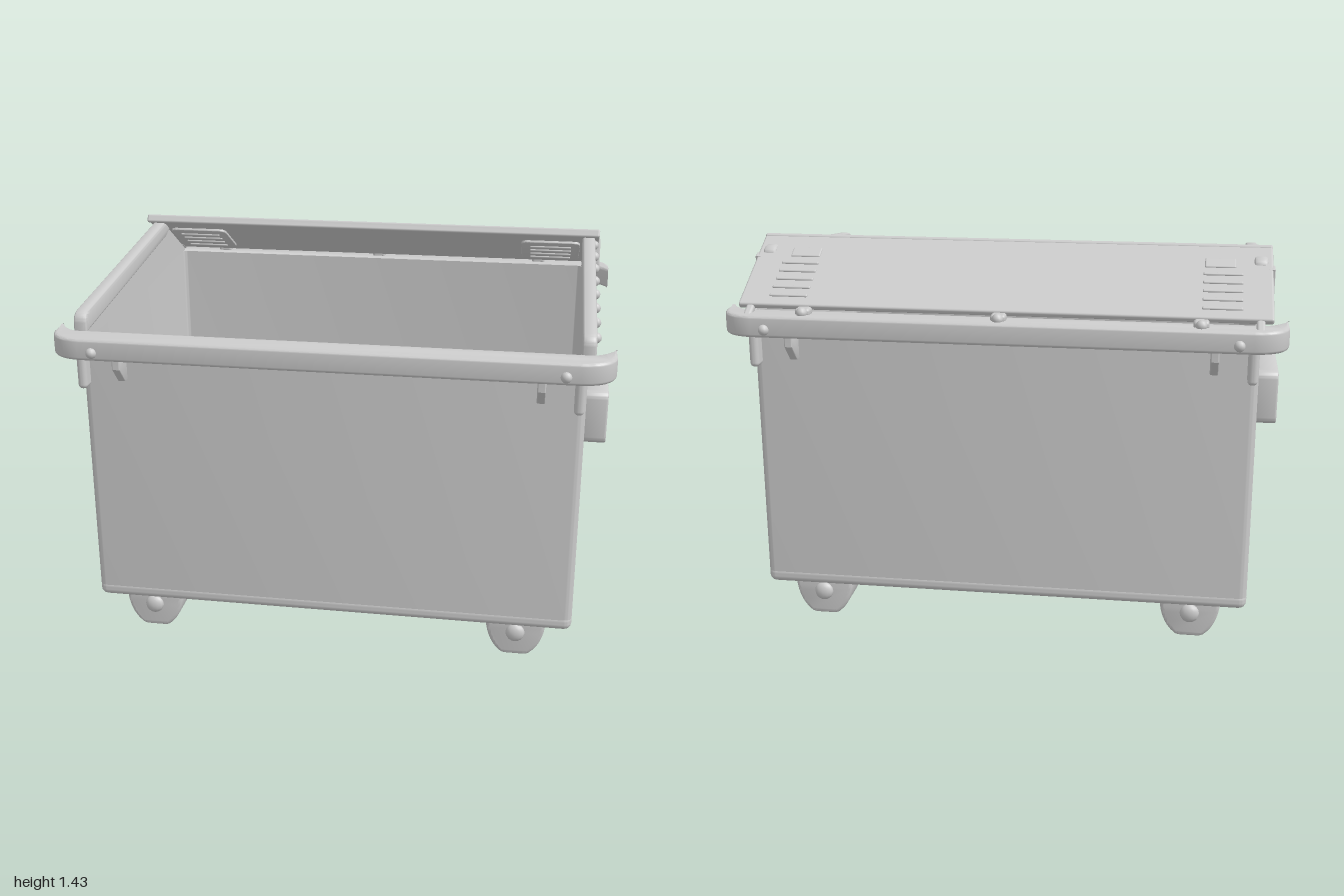
import * as THREE from 'three';
import { toCreasedNormals } from 'three/addons/utils/BufferGeometryUtils.js';
import { RoundedBoxGeometry } from 'three/addons/geometries/RoundedBoxGeometry.js';

const grey = new THREE.MeshStandardMaterial({ color: 0xcccccc });

function add(parent, name, geometry, x = 0, y = 0, z = 0) {
  const mesh = new THREE.Mesh(geometry, grey);
  mesh.name = name;
  mesh.position.set(x, y, z);
  parent.add(mesh);
  return mesh;
}

// Rounded rectangle centred on the origin
function roundRect(w, h, r, Type = THREE.Shape) {
  const s = new Type(), a = w / 2, b = h / 2;
  s.moveTo(-a + r, -b);
  s.lineTo(a - r, -b); s.quadraticCurveTo(a, -b, a, -b + r);
  s.lineTo(a, b - r); s.quadraticCurveTo(a, b, a - r, b);
  s.lineTo(-a + r, b); s.quadraticCurveTo(-a, b, -a, b - r);
  s.lineTo(-a, -b + r); s.quadraticCurveTo(-a, -b, -a + r, -b);
  return s;
}

// Extrusion centred on its depth; the bevel stays inside the outline
function extrude(shape, depth, bevel = 0) {
  const g = new THREE.ExtrudeGeometry(shape, {
    depth: depth - 2 * bevel, bevelEnabled: bevel > 0, bevelSize: bevel,
    bevelThickness: bevel, bevelOffset: -bevel, bevelSegments: 4, curveSegments: 10
  });
  g.translate(0, 0, -(depth - 2 * bevel) / 2);
  return toCreasedNormals(g, 0.6);
}
const flat = g => g.rotateX(Math.PI / 2);      // shape (x, z), depth along y
const sideways = g => g.rotateY(-Math.PI / 2); // shape (z, y), depth along x
const poly = pts => new THREE.Shape(pts.map(p => new THREE.Vector2(...p)));

function bolt(parent, x, y, z, r = 0.018) {
  return add(parent, 'bolt', new THREE.SphereGeometry(r, 12, 8), x, y, z);
}

function buildBody(root) {
  const body = new THREE.Group();
  body.name = 'body';
  root.add(body);
  // Walls and floor
  const ring = roundRect(1.81, 1.29, 0.035);
  ring.holes.push(roundRect(1.77, 1.25, 0.02, THREE.Path));
  add(body, 'walls', flat(extrude(ring, 1.02)), 0, 0.7, 0);
  add(body, 'floor', flat(extrude(roundRect(1.81, 1.29, 0.035), 0.06, 0.025)), 0, 0.175, 0);

  // Raised side panels with a sloping, bolted edge beam
  for (const s of [-1, 1]) {
    const panel = poly([[0.62, 1.18], [0.62, 1.25], [-0.4, 1.365], [-0.645, 1.215], [-0.645, 1.18]]);
    add(body, 'sidePanel', sideways(extrude(panel, 0.02)), s * 0.895, 0, 0);
    const beam = new THREE.Shape();
    beam.moveTo(0.6, 1.21);
    beam.lineTo(0.64, 1.2);
    beam.lineTo(0.64, 1.245);
    beam.quadraticCurveTo(0.635, 1.28, 0.59, 1.285);
    beam.lineTo(-0.38, 1.405);
    beam.quadraticCurveTo(-0.43, 1.4, -0.42, 1.36);
    beam.lineTo(-0.36, 1.335);
    add(body, 'edgeBeam', sideways(extrude(beam, 0.05, 0.012)), s * 0.903, 0, 0);
    for (let i = 0; i < 8; i++) {
      const z = 0.56 - i * 0.13;
      bolt(body, s * 0.924, 1.248 + (0.6 - z) * 0.124, z, 0.02);
    }
  }
}

// Front and back bumper rims whose ends hook round the corners
function buildRim(root, s) {
  const rim = new THREE.Group();
  rim.name = s > 0 ? 'frontRim' : 'backRim';
  root.add(rim);
  const o = new THREE.Shape();
  o.moveTo(-0.9, 0.63);
  o.lineTo(0.92, 0.63);
  o.quadraticCurveTo(0.965, 0.615, 0.998, 0.55);
  o.lineTo(1, 0.64);
  o.quadraticCurveTo(0.985, 0.73, 0.88, 0.74);
  o.lineTo(-0.88, 0.74);
  o.quadraticCurveTo(-0.985, 0.73, -1, 0.64);
  o.lineTo(-0.998, 0.55);
  o.quadraticCurveTo(-0.965, 0.615, -0.92, 0.63);
  const bar = add(rim, 'rimBar', flat(extrude(o, 0.08, 0.012)), 0, 1.175, 0);
  if (s < 0) bar.rotation.y = Math.PI;
  for (const m of [-1, 1]) {
    bolt(rim, m * 0.83, 1.165, s * 0.738, 0.02);
    // Hanging hooks and tapered brackets below the rim
    add(rim, 'hook', new RoundedBoxGeometry(0.035, 0.13, 0.06, 3, 0.016), m * 0.88, 1.085, s * 0.69);
    const bracket = poly([[s * 0.635, 1.15], [s * 0.635, 1.04], [s * 0.665, 1.04], [s * 0.72, 1.1], [s * 0.72, 1.15]]);
    add(rim, 'bracket', sideways(extrude(bracket, 0.03, 0.005)), m * 0.75, 0, 0);
  }
}

function buildLid(root) {
  // Lid leaning back over the rear of the opening; local z runs down the slope
  const lid = new THREE.Group();
  lid.name = 'lid';
  lid.position.set(0, 1.329, -0.487);
  lid.rotation.x = -0.51;
  root.add(lid);
  add(lid, 'lidPanel', new RoundedBoxGeometry(1.89, 0.024, 0.4, 2, 0.008));
  add(lid, 'lidLip', new RoundedBoxGeometry(1.89, 0.034, 0.02, 2, 0.008), 0, -0.002, 0.19);
  for (const m of [-1, 1]) {
    for (let i = 0; i < 5; i++)
      add(lid, 'louvre', new RoundedBoxGeometry(0.14, 0.012, 0.014, 2, 0.005), m * 0.77, 0.012, -0.15 + i * 0.045);
    add(lid, 'gripPlate', new RoundedBoxGeometry(0.11, 0.012, 0.05, 2, 0.005), m * 0.76, 0.011, 0.09);
    // Ribbed plate underneath
    add(lid, 'underPlate', flat(extrude(roundRect(0.24, 0.24, 0.03), 0.014, 0.004)), m * 0.75, -0.016, -0.02);
    for (let i = 0; i < 4; i++)
      add(lid, 'underRib', new RoundedBoxGeometry(0.17, 0.012, 0.014, 2, 0.005), m * 0.75, -0.024, -0.1 + i * 0.05);
    // Hinge arm to the back rim
    add(lid, 'hingeArm', new RoundedBoxGeometry(0.03, 0.025, 0.12, 2, 0.01), m * 0.9, -0.005, -0.215);
  }

  // Teardrop catches beside the beams
  for (const m of [-1, 1]) {
    const drop = new THREE.Shape();
    drop.moveTo(-0.44, 1.37);
    drop.quadraticCurveTo(-0.43, 1.32, -0.43, 1.285);
    drop.quadraticCurveTo(-0.425, 1.25, -0.4, 1.25);
    drop.quadraticCurveTo(-0.37, 1.255, -0.378, 1.29);
    drop.lineTo(-0.415, 1.38);
    add(root, 'catch', sideways(extrude(drop, 0.025, 0.006)), m * 0.94, 0, 0);
  }
  // Hinge knuckles on the back rim
  for (const x of [-0.7, 0, 0.7]) {
    add(root, 'hingeKnuckle', new RoundedBoxGeometry(0.055, 0.03, 0.05, 2, 0.012), x, 1.222, -0.675);
    bolt(root, x, 1.222, -0.7, 0.02);
  }
}

// Fork pocket: hollow rounded frame on each end wall
function buildPocket(root, m) {
  const pocket = new THREE.Group();
  pocket.name = m > 0 ? 'leftPocket' : 'rightPocket';
  pocket.position.set(m * 0.95, 0.83, 0);
  root.add(pocket);
  const frame = roundRect(0.45, 0.21, 0.035);
  frame.holes.push(roundRect(0.4, 0.16, 0.025, THREE.Path));
  add(pocket, 'pocketFrame', sideways(extrude(frame, 0.1, 0.008)));
  add(pocket, 'pocketBack', sideways(extrude(roundRect(0.42, 0.18, 0.02), 0.02)), -m * 0.035, 0, 0);
  const rod = new THREE.CylinderGeometry(0.01, 0.01, 0.3, 10).rotateX(Math.PI / 2);
  add(pocket, 'pocketRod', rod, m * 0.025, 0.062, 0);
  for (const s of [-1, 1]) {
    add(pocket, 'rodClip', new RoundedBoxGeometry(0.05, 0.045, 0.025, 2, 0.008), m * 0.015, 0.052, s * 0.13);
    for (const v of [-1, 1]) bolt(pocket, -m * 0.022, v * 0.065, s * 0.185, 0.012);
  }
}

// Two axles, each with a caster housing at both ends
function buildCasters(root) {
  const outline = new THREE.Shape();
  outline.moveTo(-0.11, 0.155);
  outline.lineTo(-0.11, 0.12);
  outline.quadraticCurveTo(-0.1, 0.05, -0.06, 0.015);
  outline.quadraticCurveTo(-0.05, 0.003, -0.03, 0.003);
  outline.lineTo(0.03, 0.003);
  outline.quadraticCurveTo(0.05, 0.003, 0.06, 0.015);
  outline.quadraticCurveTo(0.1, 0.05, 0.11, 0.12);
  outline.lineTo(0.11, 0.155);
  for (const m of [-1, 1]) {
    const axle = new THREE.CylinderGeometry(0.018, 0.018, 1, 14).rotateX(Math.PI / 2);
    add(root, 'axle', axle, m * 0.7, 0.1, 0);
    for (const s of [-1, 1]) {
      add(root, 'caster', extrude(outline, 0.15, 0.015), m * 0.7, 0, s * 0.525);
      for (const [z, r] of [[0.602, 0.036], [0.444, 0.03]]) {
        const hub = bolt(root, m * 0.7, 0.1, s * z, r);
        hub.name = 'hubCap';
        hub.scale.z = 0.6;
      }
    }
  }
}

export function createModel() {
  const root = new THREE.Group();
  root.name = 'wheeledSkip';
  buildBody(root);
  for (const s of [-1, 1]) {
    buildRim(root, s);
    buildPocket(root, s);
  }
  buildLid(root);
  buildCasters(root);
  return root;
}
